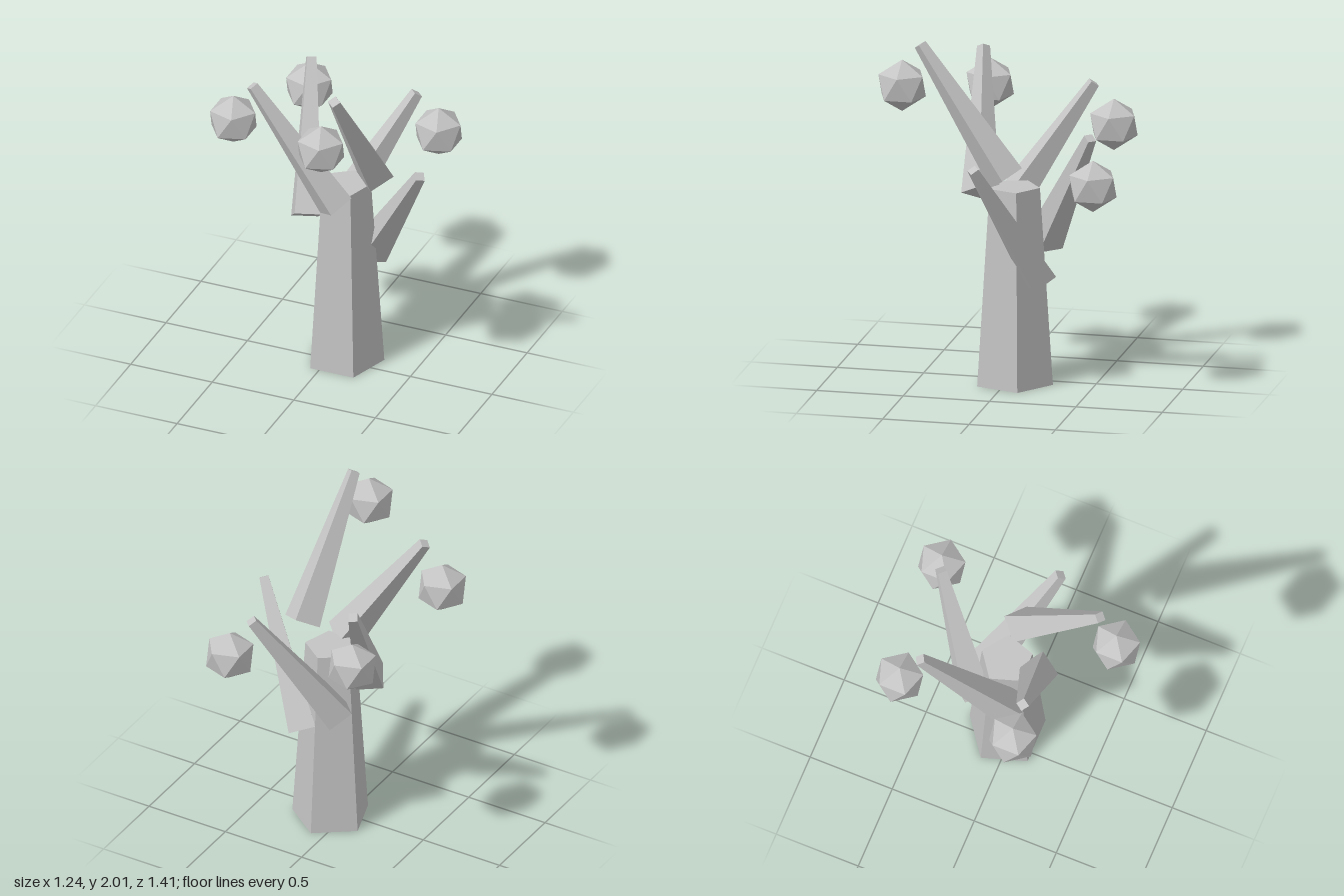
import * as THREE from 'three';

const UP = new THREE.Vector3(0, 1, 0);

export function createModel() {
  const tree = new THREE.Group();
  tree.name = 'tree';
  const grey = new THREE.MeshStandardMaterial({ color: 0xc4c4c4, flatShading: true });
  grey.name = 'plain grey';

  const add = (name, geometry) => {
    const mesh = new THREE.Mesh(geometry, grey);
    mesh.name = name;
    tree.add(mesh);
    return mesh;
  };

  // Five-sided tapered trunk, one edge pointing to the back
  add('trunk', new THREE.CylinderGeometry(0.15, 0.225, 1.146, 5, 1, false, Math.PI))
    .position.set(0.078, 0.573, -0.042);

  // Four-sided tapered branches: base centre, tip centre, roll in degrees
  const branches = [
    ['leftBranch', [0.17, 0.64, -0.21], [0.59, 1.37, 0.075], -10],
    ['frontBranch', [0.268, 1.245, -0.04], [0.232, 1.985, 0.465], 4],
    ['rightBranch', [0.105, 1.105, 0.145], [-0.367, 1.83, 0.24], 9],
    ['backRightBranch', [-0.112, 0.945, 0.058], [-0.288, 1.68, -0.418], -15],
    ['backLeftBranch', [-0.05, 0.805, -0.19], [0.307, 1.52, -0.537], 0],
  ];
  for (const [name, base, tip, roll] of branches) {
    const a = new THREE.Vector3(...base);
    const b = new THREE.Vector3(...tip);
    const axis = b.clone().sub(a);
    const geometry = new THREE.CylinderGeometry(0.037, 0.11, axis.length(), 4);
    geometry.rotateY(THREE.MathUtils.degToRad(roll));
    const branch = add(name, geometry);
    branch.position.copy(a).add(b).multiplyScalar(0.5);
    branch.quaternion.setFromUnitVectors(UP, axis.normalize());
  }

  // Faceted leaf clumps, each with a corner straight up
  const leafGeometry = new THREE.IcosahedronGeometry(0.15, 0);
  leafGeometry.rotateZ(-Math.atan(2 / (1 + Math.sqrt(5))));
  const leaves = [
    ['frontLeaves', 0.2, 1.73, 0.577],
    ['rightLeaves', -0.487, 1.58, 0.23],
    ['backRightLeaves', -0.344, 1.425, -0.52],
    ['backLeftLeaves', 0.423, 1.273, -0.58],
  ];
  for (const [name, x, y, z] of leaves) add(name, leafGeometry).position.set(x, y, z);

  return tree;
}
